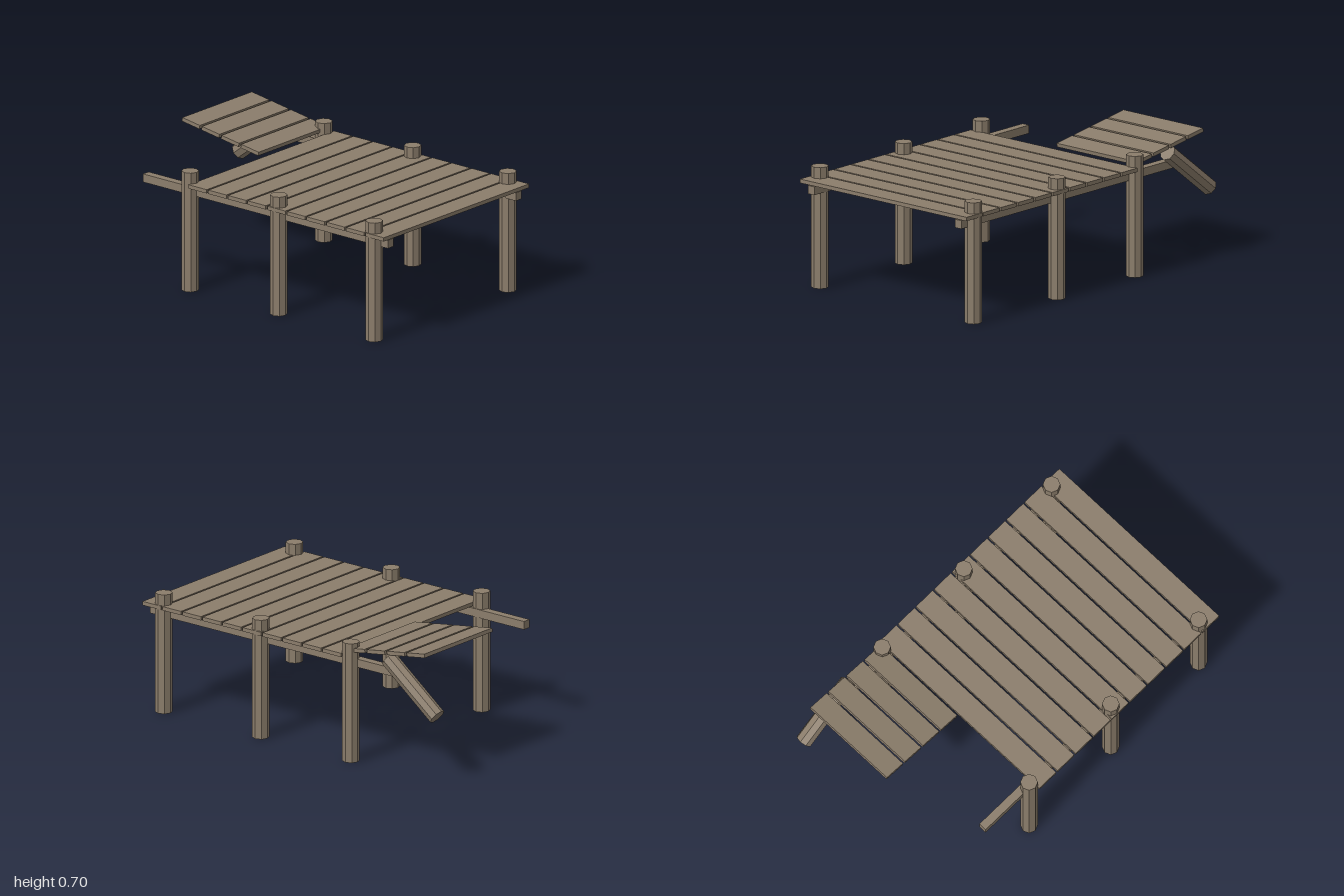
import * as THREE from 'three';

export function createModel() {
  const model = new THREE.Group();
  model.name = 'brokenPier';
  const wood = new THREE.MeshStandardMaterial({ color: 0x8b7d6b, flatShading: true });
  wood.name = 'weatheredWood';

  const add = (name, geometry, x, y, z, tilt = 0) => {
    const mesh = new THREE.Mesh(geometry, wood);
    mesh.name = name;
    mesh.position.set(x, y, z);
    mesh.rotation.x = tilt;
    model.add(mesh);
  };

  // Posts and the long beams on both sides
  const postGeo = new THREE.CylinderGeometry(0.046, 0.046, 0.66, 8);
  const beamGeo = new THREE.BoxGeometry(0.046, 0.045, 1.695);
  for (const side of [-1, 1]) {
    for (const z of [0.89, 0.23, -0.384]) add('post', postGeo, side * 0.541, 0.33, z);
    add('beam', beamGeo, side * 0.518, 0.548, 0.137);
  }

  // Deck planks
  const plankGeo = new THREE.BoxGeometry(1.176, 0.021, 0.125);
  for (let i = 0; i < 10; i++) add('deckPlank', plankGeo, 0, 0.589, 0.934 - i * 0.1362);

  // Short, broken planks rising at the back
  const shortGeo = new THREE.BoxGeometry(0.562, 0.021, 0.122);
  for (let i = 0; i < 4; i++) {
    add('brokenPlank', shortGeo, 0.281, 0.625 + i * 0.02, -0.435 - i * 0.1355, 0.147);
  }

  // Fallen post, leaning out under the broken planks
  const fallenGeo = new THREE.CylinderGeometry(0.046, 0.046, 0.415, 8);
  add('fallenPost', fallenGeo, 0.541, 0.493, -0.807, 0.913);

  return model;
}
